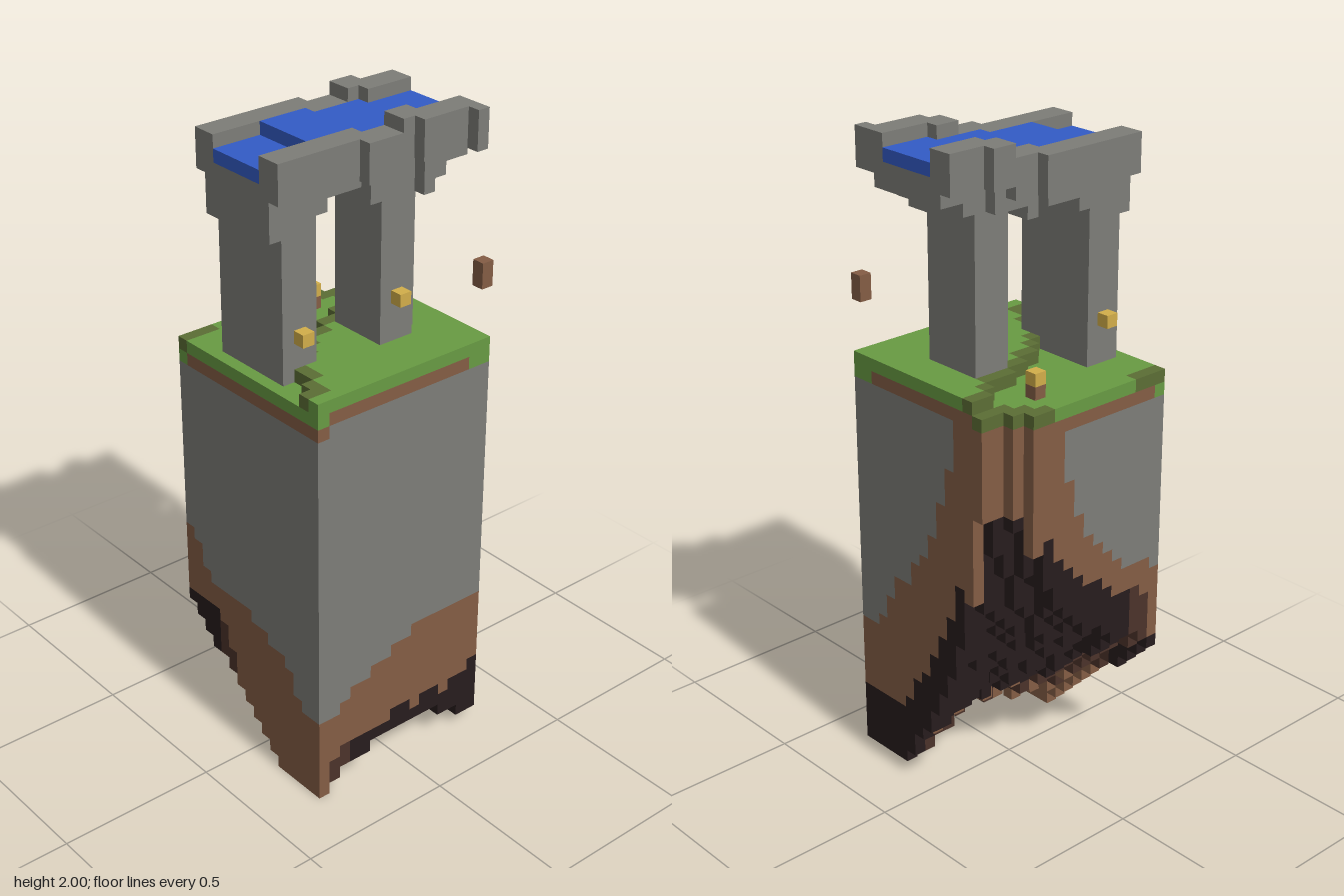
import * as THREE from 'three';

const V = 2 / 51;          // edge of one block
const N = 16;              // blocks along x and z
const mat = (name, color) => {
  const m = new THREE.MeshStandardMaterial({ color });
  m.name = name;
  return m;
};
const clamp = THREE.MathUtils.clamp;
const hash = (a, b) => {
  const s = Math.sin(a * 12.9898 + b * 78.233) * 43758.5453;
  return s - Math.floor(s);
};

// Height rules of the rock, in blocks, by column (i along x, k along z)
const UNDERSIDE = [10, 9, 8, 7, 7, 6, 5, 4, 3, 2, 1, 0, 0, 0, 0, 0];
const BUMP = [1, 1, 2, 2, 3, 3, 3, 3, 3, 3, 3, 2, 2, 2, 1, 0];
const SOIL_FRONT = [17, 16, 14, 13, 13, 13, 13, 13, 12, 12, 11, 11, 10, 8, 7, 7];
const SOIL_SIDE = [5, 5, 5, 5, 5, 5, 5, 4, 4, 3, 3, 2, 2, 1, 0, 0];
// Rows nearer the back than this stand one block higher
const TERRACE = [0, 0, 0, 2, 3, 6, 8, 10, 11, 12, 13, 14, 14, 15, 16, 16];
const MOSS = new Set(['0,3', '0,4', '1,2', '1,3', '2,0', '2,1', '2,2',
  '0,13', '0,14', '0,15', '14,14']);

function column(i, k) {
  if (i + k < 3 && i < 2 && k < 3) return null;              // broken corner
  const d = Math.hypot(i + 0.5, k + 0.5);
  const spike = 16 * Math.exp(-(d - 2.5) / 2.2);             // rises to the broken corner
  const inner = i > 0 && i < 15 && k > 0 && k < 15;
  const top = k < TERRACE[i] ? 34 : 33;
  const jag = inner ? Math.floor(hash(i, k) * 1.7) : 0;
  const bottom = clamp(Math.round(UNDERSIDE[i] + BUMP[k] + spike) + jag, 0, 29);
  const soil = Math.round(SOIL_FRONT[i] + SOIL_SIDE[k] * i / 15 + 37 * Math.exp(-(d - 2.5) / 3));
  const edge = top === 34 && i < 15 && (k === TERRACE[i] - 1 || k >= TERRACE[i - 1]);
  const moss = edge || MOSS.has(i + ',' + k);
  let dark = inner ? Math.min(bottom + 8, 25) : bottom + (k === 0 ? 5 : 4);
  if (k === 15) dark = i < 4 ? 11 : i === 4 ? 10 : i === 5 ? 8 : 0;
  else if (i === 15 && k > 0) dark = k === 14 ? 3 : k > 8 ? 4 : k % 3 === 0 ? 4 : 5;
  else if (d < 3.6 && !inner) dark = 0;
  return { i, k, top, bottom, soil, dark, inner, moss };
}

function blockColour(c, j) {
  const depth = c.top - 1 - j;
  if (depth === 0) return c.moss ? 'moss' : 'grass';
  // Turf hangs lower at the corners
  const frontRight = c.k === 15 && c.top === 34;
  const bare = (c.k === 15 && c.i === 0) || (c.k < 2 && c.i > 13);
  if (depth === 1) return frontRight || bare ? 'grass' : 'soil';
  if (depth === 2 && frontRight) return 'soil';
  if (j < c.dark) {
    if (c.inner && c.bottom < 5 && j === c.bottom) return hash(c.k, c.i) < 0.65 ? 'soil' : 'darkSoil';
    return c.k >= 13 && (c.k < 15 || c.i > 3) ? 'darkSoil' : 'bedrock';
  }
  return j < c.soil ? 'soil' : 'stone';
}

// Visible faces of the rock, gathered by colour
function buildIsland(mats) {
  const group = new THREE.Group();
  group.name = 'island';
  const cols = [];
  for (let i = 0; i < N; i++) {
    cols.push([]);
    for (let k = 0; k < N; k++) cols[i].push(column(i, k));
  }
  const solid = (i, j, k) => {
    const c = cols[i]?.[k];
    return !!c && j >= c.bottom && j < c.top;
  };
  const faces = {};
  for (const c of cols.flat()) {
    if (!c) continue;
    for (let j = c.bottom; j < c.top; j++) {
      const list = (faces[blockColour(c, j)] ??= []);
      for (let axis = 0; axis < 3; axis++) {
        for (const s of [0, 1]) {
          const cell = [c.i, j, c.k];
          const next = [...cell];
          next[axis] += s ? 1 : -1;
          if (solid(...next)) continue;
          const u = (axis + 1) % 3, w = (axis + 2) % 3;
          const corner = (a, b) => {
            const p = [...cell];
            p[axis] += s;
            p[u] += a;
            p[w] += b;
            return [(p[0] - 8) * V, p[1] * V, (p[2] - 8) * V];
          };
          const q = [corner(0, 0), corner(1, 0), corner(1, 1), corner(0, 1)];
          if (!s) q.reverse();
          for (const n of [0, 1, 2, 0, 2, 3]) list.push(...q[n]);
        }
      }
    }
  }
  for (const [name, list] of Object.entries(faces)) {
    const g = new THREE.BufferGeometry();
    g.setAttribute('position', new THREE.Float32BufferAttribute(list, 3));
    g.computeVertexNormals();
    const mesh = new THREE.Mesh(g, mats[name]);
    mesh.name = name + 'Layer';
    group.add(mesh);
  }
  return group;
}

export function createModel() {
  const mats = {
    grass: mat('grass', 0x689b43),
    moss: mat('moss', 0x5c6e35),
    stone: mat('stone', 0x7d7d78),
    soil: mat('soil', 0x845d45),
    darkSoil: mat('darkSoil', 0x4c332a),
    bedrock: mat('bedrock', 0x271c1d),
    water: mat('water', 0x335bc6),
    lamp: mat('lamp', 0xd2ae4a),
  };
  const model = new THREE.Group();
  model.name = 'floatingIslandAqueduct';
  model.add(buildIsland(mats));

  // Box between two block corners
  const addBox = (parent, name, m, [i0, j0, k0], [i1, j1, k1]) => {
    const mesh = new THREE.Mesh(
      new THREE.BoxGeometry((i1 - i0) * V, (j1 - j0) * V, (k1 - k0) * V), mats[m]);
    mesh.position.set(((i0 + i1) / 2 - 8) * V, (j0 + j1) / 2 * V, ((k0 + k1) / 2 - 8) * V);
    mesh.name = name;
    parent.add(mesh);
  };

  const aqueduct = new THREE.Group();
  aqueduct.name = 'aqueduct';
  model.add(aqueduct);

  // Channel, row by row: it shifts to the side as it runs back
  for (let k = 0; k < N; k++) {
    const o = k < 4 ? 2 : k < 8 ? 1 : 0;
    const left = k < 3 ? 5 : k < 7 ? 4 : 3;
    const right = k < 1 ? 15 : k < 5 ? 14 : k < 9 ? 13 : 12;
    const upL = k < 5 ? 1 : 0, upR = k < 6 ? 1 : 0;
    const bed = 48 + upL;
    addBox(aqueduct, 'rightWall', 'stone', [left, 47 + upL, k], [5 + o, 50 + upL, k + 1]);
    addBox(aqueduct, 'leftWall', 'stone', [10 + o, 47 + upR, k], [right, 50 + upR, k + 1]);
    addBox(aqueduct, 'beam', 'stone', [4 + o, k < 2 ? 47 : 46, k], [11 + o, 48, k + 1]);
    if (upL) addBox(aqueduct, 'channelFloor', 'stone', [5 + o, 48, k], [10 + o, bed, k + 1]);
    addBox(aqueduct, 'water', 'water', [5 + o, bed, k], [10 + o, k < 12 ? 50 : 49, k + 1]);
  }

  // Front pier, capital and arch corners
  addBox(aqueduct, 'frontPier', 'stone', [4, 32, 12], [11, 46, 15]);
  addBox(aqueduct, 'frontCapital', 'stone', [4, 44, 12], [11, 47, 16]);
  addBox(aqueduct, 'frontArchCorner', 'stone', [4, 45, 11], [11, 46, 12]);
  addBox(aqueduct, 'rearArchCorner', 'stone', [5, 45, 7], [12, 46, 8]);
  addBox(aqueduct, 'rearCorbel', 'stone', [6, 45, 3], [13, 46, 4]);

  // Rear pier, stepped along its right side: row, first and last column
  for (const [k, i0, i1] of [[3, 6, 11], [4, 6, 12], [5, 6, 12], [6, 7, 12]]) {
    addBox(aqueduct, 'rearPier', 'stone', [i0, 32, k], [i1, 46, k + 1]);
  }

  // Lamps on the piers
  for (const [i, j, k] of [[3, 36, 13], [11, 36, 13], [12, 37, 5]]) {
    addBox(aqueduct, 'lamp', 'lamp', [i, j, k], [i + 1, j + 1, k + 1]);
  }

  // Lamp post on the grass and a loose floating clod
  addBox(model, 'lampPost', 'soil', [2, 33, 5], [3, 34, 6]);
  addBox(model, 'postLamp', 'lamp', [2, 34, 5], [3, 35, 6]);
  addBox(model, 'floatingClod', 'soil', [15, 38, 0], [16, 40, 1]);
  return model;
}
